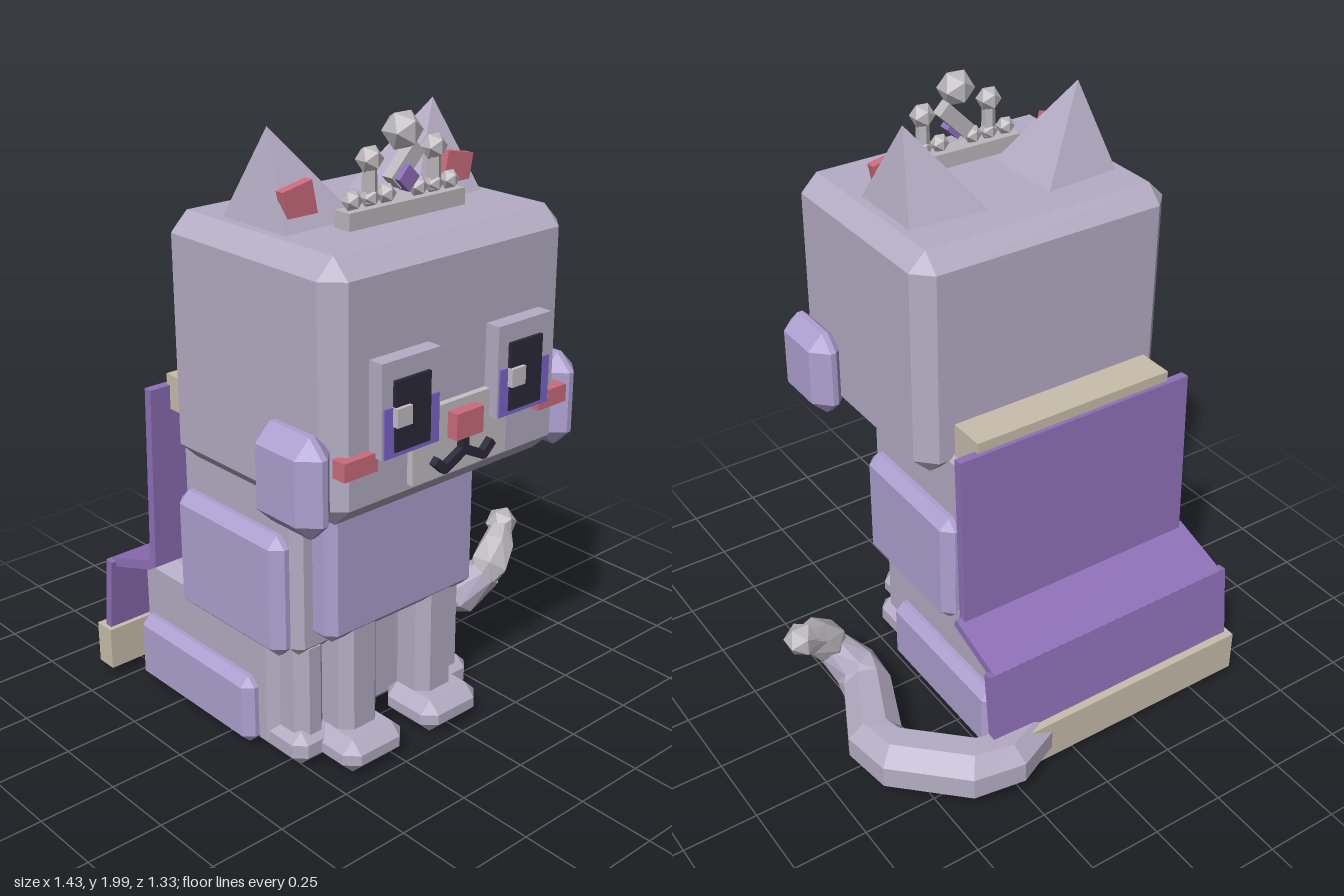
import * as THREE from 'three';
import { ConvexGeometry } from 'three/addons/geometries/ConvexGeometry.js';

const mat = (name, color) => {
  const m = new THREE.MeshStandardMaterial({ color, flatShading: true });
  m.name = name;
  return m;
};

export function createModel() {
  const M = {
    fur: mat('grey lilac fur', 0xb5adc4),
    lavender: mat('lavender', 0xaea0d0),
    cape: mat('purple cape', 0x8e70b8),
    cream: mat('cream trim', 0xc8beac),
    silver: mat('silver', 0xbcb8bc),
    muzzle: mat('pale muzzle', 0xc4c0c6),
    pink: mat('pink', 0xcc6c7c),
    dark: mat('dark', 0x2c2a38),
    violet: mat('violet', 0x7c64cc),
  };
  const model = new THREE.Group();
  const cat = new THREE.Group();
  cat.name = 'cat';
  cat.position.x = -0.163; // the tail sticks out to the left
  model.add(cat);

  const add = (name, geo, material, x = 0, y = 0, z = 0) => {
    const mesh = new THREE.Mesh(geo, material);
    mesh.name = name;
    mesh.position.set(x, y, z);
    cat.add(mesh);
    return mesh;
  };
  // Boxes are given by their ranges on each axis
  const box = (name, m, [x0, x1], [y0, y1], [z0, z1]) =>
    add(name, new THREE.BoxGeometry(x1 - x0, y1 - y0, z1 - z0), m, (x0 + x1) / 2, (y0 + y1) / 2, (z0 + z1) / 2);
  const bevelBox = (name, m, [x0, x1], [y0, y1], [z0, z1], b) => {
    const h = [(x1 - x0) / 2, (y1 - y0) / 2, (z1 - z0) / 2];
    const pts = [];
    for (const sx of [-1, 1]) for (const sy of [-1, 1]) for (const sz of [-1, 1])
      for (let full = 0; full < 3; full++) {
        const c = h.map((v, i) => (i === full ? v : v - b));
        pts.push(new THREE.Vector3(sx * c[0], sy * c[1], sz * c[2]));
      }
    return add(name, new ConvexGeometry(pts), m, (x0 + x1) / 2, (y0 + y1) / 2, (z0 + z1) / 2);
  };
  const mirrorRange = (s, a, b) => (s > 0 ? [a, b] : [-b, -a]);
  const ball = (name, r, x, y, z) => add(name, new THREE.IcosahedronGeometry(r, 0), M.silver, x, y, z);

  // Head and body
  bevelBox('head', M.fur, [-0.463, 0.463], [0.935, 1.7], [-0.155, 0.592], 0.058);
  bevelBox('torso', M.fur, [-0.37, 0.37], [0.39, 1.02], [-0.235, 0.32], 0.03);
  bevelBox('chest', M.lavender, [-0.307, 0.307], [0.445, 1.02], [0.27, 0.4], 0.03);
  bevelBox('hips', M.fur, [-0.38, 0.38], [0.01, 0.47], [-0.48, 0.22], 0.04);

  for (const s of [-1, 1]) {
    const side = s > 0 ? 'left' : 'right';
    bevelBox(side + 'Shoulder', M.lavender, mirrorRange(s, 0.33, 0.422), [0.39, 0.79], [-0.21, 0.29], 0.035);
    bevelBox(side + 'Haunch', M.lavender, mirrorRange(s, 0.34, 0.425), [0.02, 0.255], [-0.445, 0.14], 0.03);
    bevelBox(side + 'CheekTuft', M.lavender, mirrorRange(s, 0.43, 0.555), [0.925, 1.225], [0.327, 0.597], 0.053);
    // Legs and paws
    bevelBox(side + 'FrontLeg', M.fur, mirrorRange(s, 0.085, 0.24), [0.06, 0.5], [0.24, 0.39], 0.035);
    bevelBox(side + 'FrontPaw', M.fur, mirrorRange(s, 0.045, 0.285), [0, 0.115], [0.235, 0.467], 0.04);
    bevelBox(side + 'HindLeg', M.fur, mirrorRange(s, 0.235, 0.35), [0.06, 0.44], [0.15, 0.31], 0.035);
    bevelBox(side + 'HindPaw', M.fur, mirrorRange(s, 0.21, 0.375), [0.005, 0.12], [0.1, 0.33], 0.035);

    // Ear: pyramid with its tip towards the outside
    add(side + 'Ear', new ConvexGeometry([
      [0.102, 1.69, 0.008], [0.38, 1.69, 0.03], [0.38, 1.69, 0.31], [0.102, 1.69, 0.31], [0.315, 1.965, 0.16],
    ].map(([x, y, z]) => new THREE.Vector3(s * x, y, z))), M.fur);
    const inner = add(side + 'InnerEar', new THREE.BoxGeometry(0.105, 0.1, 0.03), M.pink, s * 0.303, 1.773, 0.27);
    inner.rotation.z = -s * 0.2;

    // Eye: raised socket, iris, pupil and a highlight on the same side of both
    const ex = s * 0.2235;
    box(side + 'EyeSocket', M.fur, [ex - 0.109, ex + 0.109], [1.14, 1.415], [0.58, 0.642]);
    box(side + 'Iris', M.violet, [ex - 0.102, ex + 0.102], [1.14, 1.285], [0.6, 0.647]);
    box(side + 'Pupil', M.dark, [ex - 0.068, ex + 0.064], [1.155, 1.36], [0.6, 0.653]);
    box(side + 'EyeHighlight', M.muzzle, [ex - 0.072, ex - 0.016], [1.23, 1.285], [0.63, 0.665]);
    box(side + 'Blush', M.pink, mirrorRange(s, 0.322, 0.444), [1.1, 1.155], [0.57, 0.618]);
  }

  // Muzzle, nose and mouth
  box('muzzle', M.muzzle, [-0.188, 0.188], [1.01, 1.225], [0.57, 0.613]);
  box('nose', M.pink, [-0.053, 0.053], [1.12, 1.2], [0.58, 0.65]);
  const stroke = (x0, y0, x1, y1) => {
    const len = Math.hypot(x1 - x0, y1 - y0) + 0.014;
    const m = add('mouthStroke', new THREE.BoxGeometry(len, 0.026, 0.03), M.dark, (x0 + x1) / 2, (y0 + y1) / 2, 0.621);
    m.rotation.z = Math.atan2(y1 - y0, x1 - x0);
  };
  stroke(0, 1.12, 0, 1.075);
  for (const s of [-1, 1]) {
    stroke(0, 1.075, s * 0.035, 1.057);
    stroke(s * 0.04, 1.055, s * 0.075, 1.037);
    stroke(s * 0.08, 1.037, s * 0.11, 1.065);
  }

  // Crown
  box('crownBand', M.silver, [-0.222, 0.222], [1.69, 1.75], [0.33, 0.392]);
  for (const s of [-1, 1]) {
    for (const x of [0.061, 0.122, 0.186]) ball('crownBead', 0.031, s * x, 1.775, 0.362);
    add('crownSpike', new THREE.CylinderGeometry(0.02, 0.024, 0.12, 6), M.silver, s * 0.122, 1.82, 0.362);
    ball('crownSpikeBall', 0.041, s * 0.122, 1.88, 0.362);
  }
  ball('crownTopBall', 0.06, 0, 1.942, 0.362);
  const stem = add('crownStem', new THREE.BoxGeometry(0.05, 0.13, 0.04), M.silver, 0.012, 1.845, 0.355);
  stem.rotation.z = -Math.PI / 4;
  const gem = add('crownGem', new THREE.BoxGeometry(0.055, 0.055, 0.04), M.cape, -0.002, 1.813, 0.375);
  gem.rotation.z = Math.PI / 4;

  // Cape: three slabs following a stepped [z, y] line, with cream trim
  const line = [[-0.3, 1.09], [-0.322, 0.495], [-0.52, 0.43], [-0.552, 0.15]];
  [0.435, 0.457, 0.475].forEach((half, i) => {
    const [z0, y0] = line[i], [z1, y1] = line[i + 1];
    const slab = add('capePanel', new THREE.BoxGeometry(2 * half, Math.hypot(z1 - z0, y1 - y0) + 0.02, 0.03),
      M.cape, 0, (y0 + y1) / 2, (z0 + z1) / 2);
    slab.rotation.x = Math.atan2(z0 - z1, y0 - y1);
  });
  box('capeCollar', M.cream, [-0.362, 0.362], [1.02, 1.135], [-0.3, -0.175]);
  box('capeHem', M.cream, [-0.49, 0.49], [0.04, 0.185], [-0.59, -0.515]);
  ball('capeClasp', 0.03, 0.005, 1.1, -0.175);

  // Tail: rings swept along a bent path of [x, y, z, radius]
  const sweep = (name, m, path, sides = 8) => {
    const P = path.map(p => new THREE.Vector3(p[0], p[1], p[2]));
    const pos = [], idx = [];
    P.forEach((p, i) => {
      const t = P[Math.min(i + 1, P.length - 1)].clone().sub(P[Math.max(i - 1, 0)]).normalize();
      const u = new THREE.Vector3(0, 1, 0).addScaledVector(t, -t.y).normalize();
      const v = t.clone().cross(u);
      for (let k = 0; k < sides; k++) {
        const a = ((k + 0.5) / sides) * Math.PI * 2;
        const q = p.clone().addScaledVector(u, Math.cos(a) * path[i][3]).addScaledVector(v, Math.sin(a) * path[i][3]);
        pos.push(q.x, q.y, q.z);
      }
    });
    for (let i = 0; i < P.length - 1; i++) for (let k = 0; k < sides; k++) {
      const a = i * sides + k, b = i * sides + ((k + 1) % sides);
      idx.push(a, b, a + sides, b, b + sides, a + sides);
    }
    const last = (P.length - 1) * sides;
    for (let k = 1; k < sides - 1; k++) idx.push(0, k + 1, k, last, last + k, last + k + 1);
    const g = new THREE.BufferGeometry();
    g.setAttribute('position', new THREE.Float32BufferAttribute(pos, 3));
    g.setIndex(idx);
    const flat = g.toNonIndexed();
    flat.computeVertexNormals();
    return add(name, flat, m, 0.163);
  };
  sweep('tail', M.fur, [
    [0, 0.115, -0.46, 0.08], [0.28, 0.115, -0.575, 0.095], [0.38, 0.115, -0.555, 0.1], [0.565, 0.115, -0.375, 0.1],
    [0.58, 0.115, -0.28, 0.095], [0.475, 0.115, -0.05, 0.085], [0.475, 0.145, 0.03, 0.08], [0.535, 0.23, 0.09, 0.06],
  ]);
  sweep('tailEnd', M.silver, [
    [0.515, 0.2, 0.085, 0.05], [0.545, 0.25, 0.09, 0.072], [0.6, 0.31, 0.075, 0.06], [0.645, 0.345, 0.045, 0.04],
  ], 6);
  ball('tailTip', 0.058, 0.663 + 0.163, 0.355, 0.033);

  return model;
}
